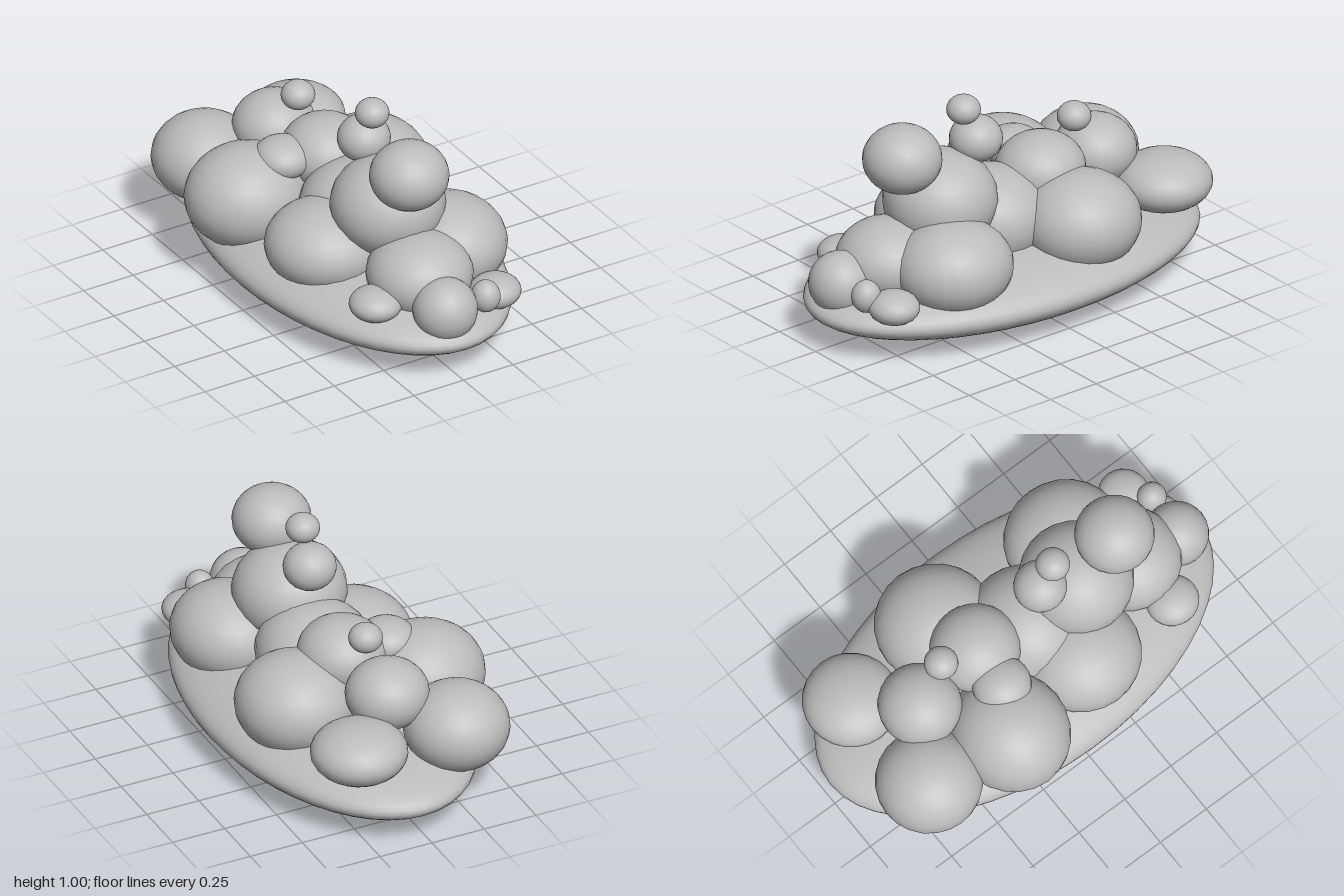
import * as THREE from 'three';

export function createModel() {
  const model = new THREE.Group();
  const grey = new THREE.MeshStandardMaterial({ color: 0xbcbcbc });
  grey.name = 'plain grey';

  // Unit sphere, stretched and placed for every part
  const small = new THREE.SphereGeometry(1, 24, 16);
  const large = new THREE.SphereGeometry(1, 48, 32);

  function blob(name, [x, y, z], [rx, ry, rz], geometry = small) {
    const mesh = new THREE.Mesh(geometry, grey);
    mesh.name = name;
    mesh.position.set(x, y, z);
    mesh.scale.set(rx, ry, rz);
    model.add(mesh);
  }

  // Flat oval base
  blob('base', [0.03, 0.173, 0], [0.557, 0.168, 1], large);

  // Central ridge, front to back
  blob('frontKnob', [-0.005, 0.292, 0.857], [0.142, 0.14, 0.142]);
  blob('frontMound', [0.017, 0.345, 0.61], [0.233, 0.178, 0.235]);
  blob('upperBody', [0.025, 0.55, 0.335], [0.253, 0.22, 0.25]);
  blob('head', [0.012, 0.793, 0.533], [0.174, 0.152, 0.174]);
  blob('neckBall', [0.025, 0.778, 0.138], [0.117, 0.104, 0.117]);
  blob('topBall', [0.025, 0.936, 0.206], [0.075, 0.065, 0.075]);
  blob('middleMound', [0.037, 0.4, 0.07], [0.26, 0.22, 0.255]);
  blob('backMound', [0.04, 0.54, -0.205], [0.196, 0.16, 0.2]);
  blob('rearMound', [-0.01, 0.51, -0.545], [0.185, 0.155, 0.182]);
  blob('rearTopBall', [0.024, 0.72, -0.403], [0.075, 0.065, 0.075]);
  blob('sideBump', [-0.166, 0.56, -0.22], [0.13, 0.09, 0.13]);

  // Large mounds down the sides
  blob('leftFrontMound', [0.262, 0.35, 0.45], [0.252, 0.204, 0.268]);
  blob('rightFrontMound', [-0.2, 0.345, 0.185], [0.265, 0.19, 0.265]);
  blob('leftMiddleMound', [0.28, 0.375, -0.235], [0.265, 0.218, 0.268]);
  blob('rightMiddleMound', [-0.31, 0.385, -0.285], [0.275, 0.227, 0.258]);
  blob('leftRearMound', [0.222, 0.388, -0.74], [0.213, 0.127, 0.213]);
  blob('rightRearMound', [-0.268, 0.36, -0.695], [0.234, 0.193, 0.234]);

  // Small lumps at the front edge
  blob('leftFoot', [0.285, 0.265, 0.795], [0.115, 0.072, 0.112]);
  blob('footBall', [0.19, 0.305, 0.873], [0.064, 0.073, 0.066]);
  blob('rightFoot', [-0.235, 0.29, 0.657], [0.115, 0.071, 0.118]);

  return model;
}
